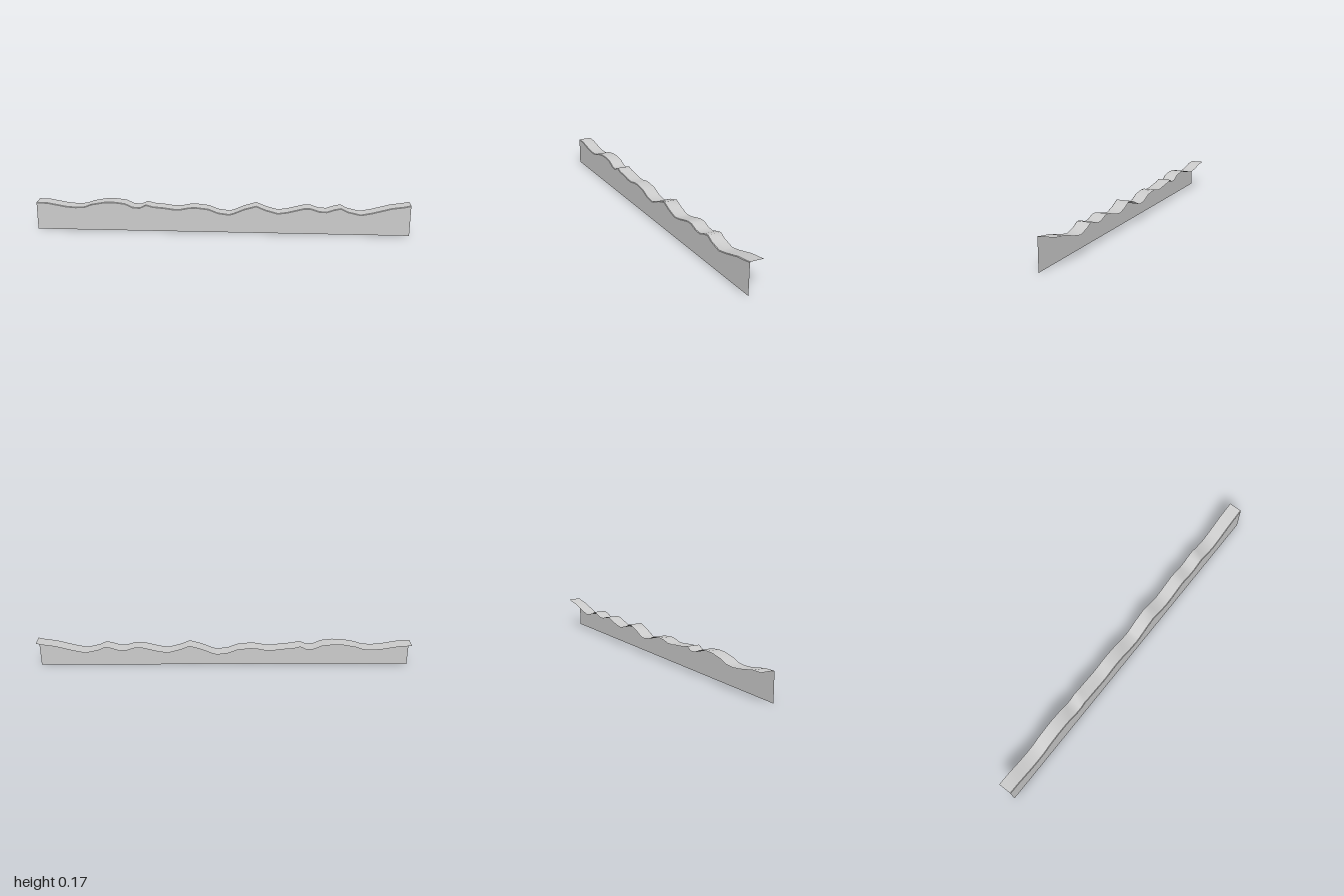
import * as THREE from 'three';

// Crest line of the terrain edge: x, height
const CREST = [
  [-1, .15], [-.94, .148], [-.89, .139], [-.84, .13], [-.79, .126], [-.74, .129], [-.7, .144],
  [-.63, .157], [-.58, .158], [-.52, .151], [-.48, .132], [-.44, .129], [-.405, .146], [-.37, .136],
  [-.31, .131], [-.26, .124], [-.22, .124], [-.18, .133], [-.14, .136], [-.07, .128], [-.02, .108],
  [.04, .1], [.065, .107], [.12, .131], [.185, .15], [.235, .129], [.3, .111], [.35, .118],
  [.4, .131], [.44, .141], [.475, .141], [.52, .126], [.56, .124], [.6, .138], [.635, .145],
  [.67, .127], [.74, .111], [.8, .123], [.9, .15], [.97, .16], [1, .167],
];
const FRONT = 0.037, BACK = -0.037, LIP = 0.003;

// Lofts a sheet along the crest; section(h) lists [y, z] points from back/top to front/bottom
function sheet(name, section) {
  const positions = [], index = [];
  const n = section(0).length;
  CREST.forEach(([x, h], i) => {
    section(h).forEach(([y, z]) => positions.push(x, y, z));
    if (i === 0) return;
    for (let j = 0; j < n - 1; j++) {
      const a = (i - 1) * n + j, b = i * n + j;
      index.push(a, a + 1, b, b, a + 1, b + 1);
    }
  });
  const geometry = new THREE.BufferGeometry();
  geometry.setAttribute('position', new THREE.Float32BufferAttribute(positions, 3));
  geometry.setIndex(index);
  geometry.computeVertexNormals();
  const mesh = new THREE.Mesh(geometry,
    new THREE.MeshStandardMaterial({ color: 0xcccccc, side: THREE.DoubleSide }));
  mesh.name = name;
  return mesh;
}

export function createModel() {
  const group = new THREE.Group();
  group.name = 'terrainEdge';
  group.add(
    // Undulating ground surface running back from the cliff
    sheet('groundSurface', h => [[h, BACK], [h, FRONT - LIP]]),
    // Narrow bevel along the front edge
    sheet('edgeLip', h => [[h, FRONT - LIP], [h - LIP, FRONT]]),
    // Vertical front face down to the base
    sheet('cliffFace', h => [[h - LIP, FRONT], [0, FRONT]]),
  );
  return group;
}
